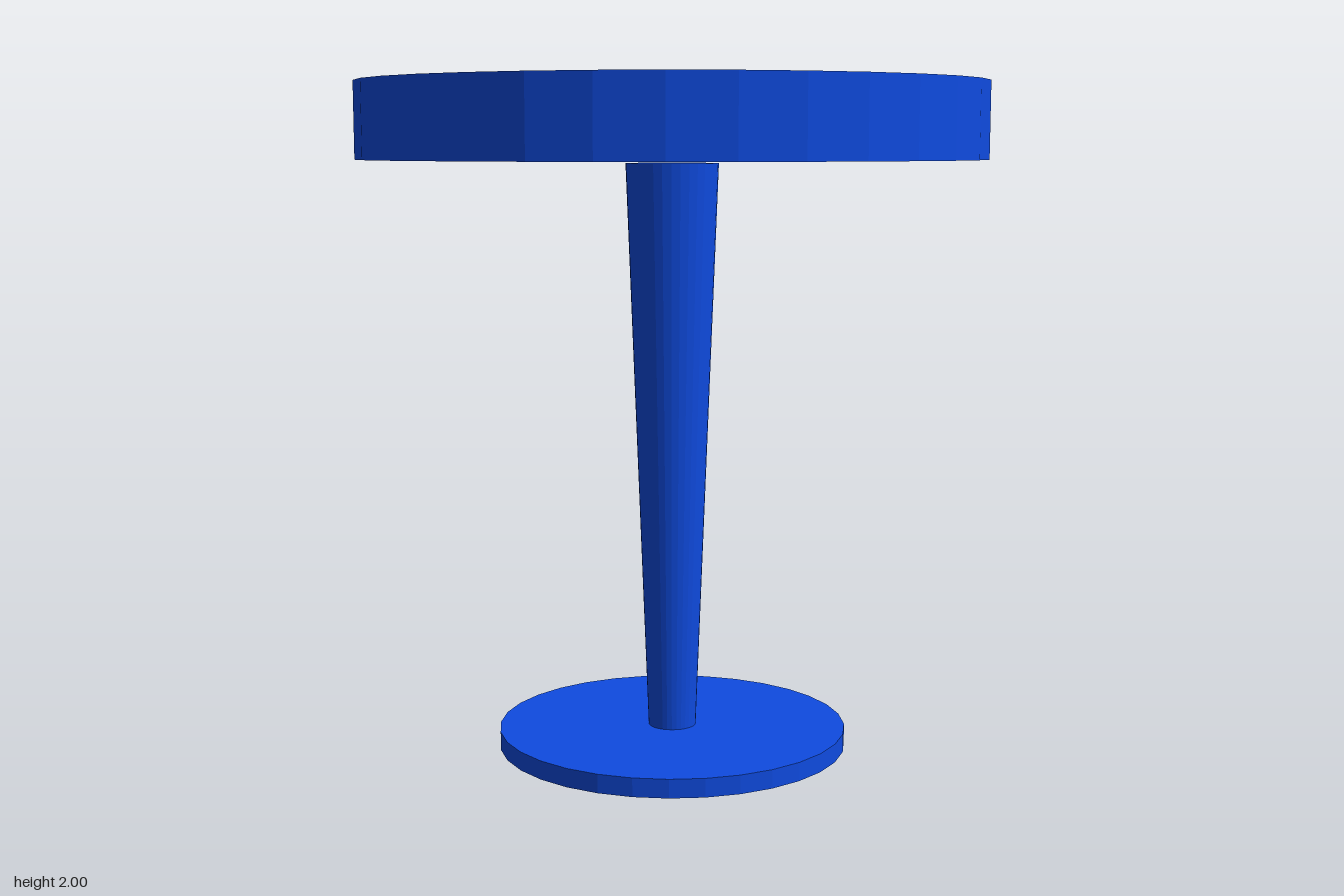
import * as THREE from 'three';

const SIDES = 32;

export function createModel() {
  const table = new THREE.Group();
  table.name = 'pedestalTable';
  const blue = new THREE.MeshStandardMaterial({ color: 0x0f4be0, flatShading: true });

  // Round part standing between two heights
  function addRound(name, topRadius, bottomRadius, y0, y1) {
    const geometry = new THREE.CylinderGeometry(topRadius, bottomRadius, y1 - y0, SIDES);
    const mesh = new THREE.Mesh(geometry, blue);
    mesh.name = name;
    mesh.position.y = (y0 + y1) / 2;
    table.add(mesh);
  }

  // Thin foot disc
  addRound('base', 0.528, 0.528, 0, 0.056);
  // Column widening upwards, ending just short of the top
  addRound('column', 0.138, 0.072, 0.056, 1.764);
  // Thick round slab
  addRound('tabletop', 0.925, 0.925, 1.775, 2);

  return table;
}
